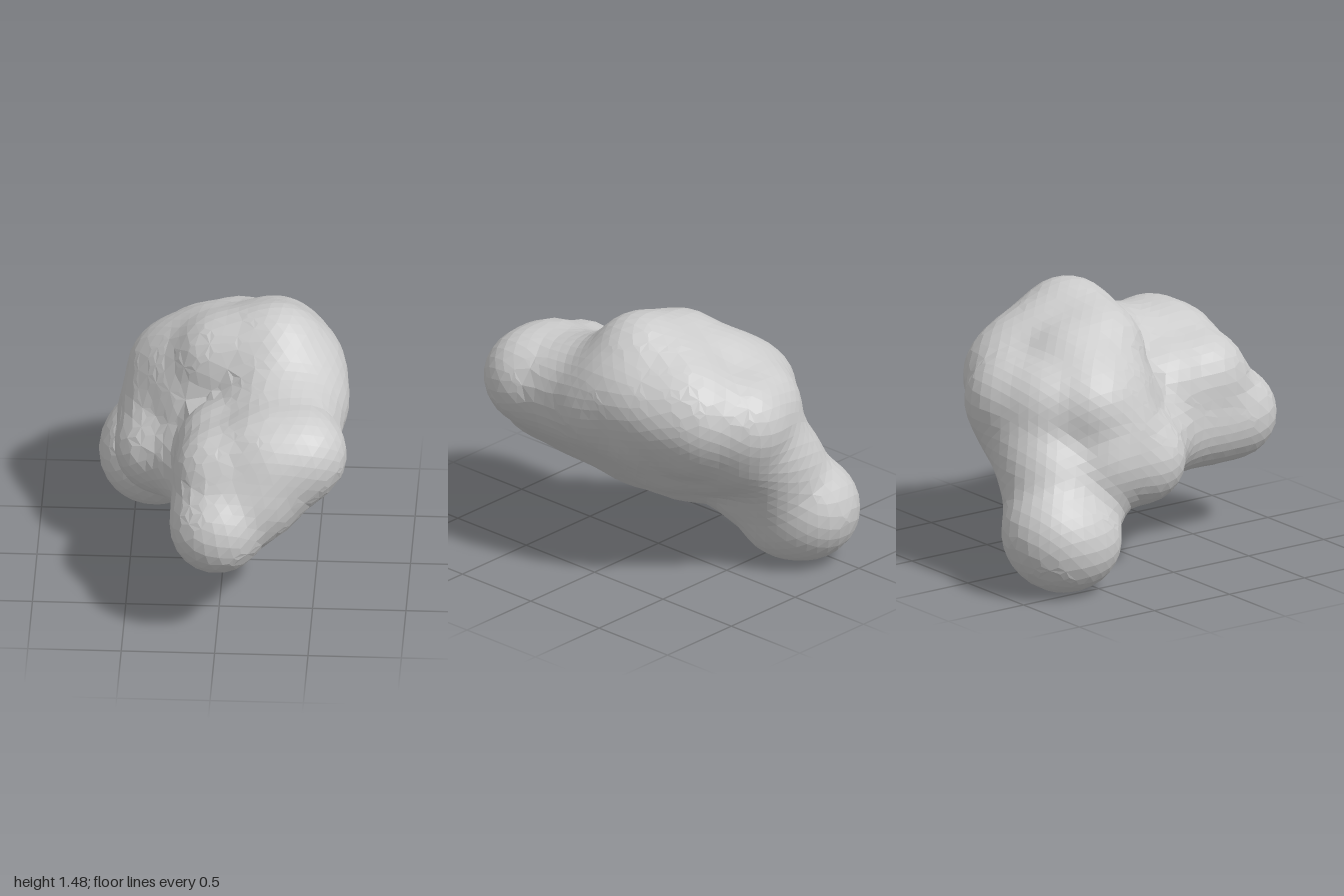
import * as THREE from 'three';

const RADIUS = 0.248, FOOT = 0.235, BLEND = 0.035, CELL = 0.075;

// Centres of the soft balls that make up each region of the blob (optional fourth value: radius)
const REGIONS = {
  frontLobe: [[0, .615, .75], [0, .615, .55], [0, .615, .33], [.01, .85, .56], [.01, .84, .3], [.2, .75, .63],
    [.3, .88, .56], [.25, .94, .54], [.435, .95, .53], [.25, .93, .28], [.385, .95, .27]],
  body: [[-.08, .535, -.08], [-.1, .535, -.2], [.01, .565, .1], [-.13, .62, .07], [-.34, .6, -.11],
    [-.335, .64, -.36], [-.3, .78, -.28], [.1, .7, -.2], [0, .68, -.42], [.02, .78, -.6], [-.1, .85, -.1],
    [.415, .97, .02], [.22, .86, -.45]],
  head: [[.28, 1.21, -.13], [.13, 1.155, -.14], [-.02, 1.13, -.15], [.22, 1.13, -.3], [.25, 1.05, -.44],
    [.28, 1.05, .01], [.3, .98, .13], [.39, 1.07, -.1], [.37, 1.06, -.22], [.34, 1.01, -.36], [.26, .99, -.52],
    [.06, .93, -.665], [-.13, .93, -.58], [-.28, .93, -.4], [-.17, 1, -.36], [-.18, .95, -.24],
    [-.05, 1.07, -.35], [.1, .95, -.3]],
  rearFoot: [[-.445, .25, -.69, FOOT], [-.43, .25, -.6, FOOT], [-.335, .25, -.61, FOOT], [-.4, .27, -.72, FOOT],
    [-.39, .32, -.755, FOOT], [-.26, .42, -.44], [-.28, .45, -.63], [-.24, .58, -.64], [-.14, .7, -.63]],
};
// Slanting underside that joins the front lobe to the back
for (const z of [.42, .22, .02, -.2]) REGIONS.body.push([.11, .68, z], [.21, .78, z], [.32, .88, z]);
const BALLS = Object.values(REGIONS).flat();

// Smooth union of all balls: negative inside, positive outside
function field(x, y, z) {
  let sum = 0;
  for (const [a, b, c, r = RADIUS] of BALLS) sum += Math.exp((r - Math.hypot(x - a, y - b, z - c)) / BLEND);
  return -BLEND * Math.log(sum + 1e-30);
}

// Even out the mesh, pulling each vertex back onto the surface
function relax(positions, index, rounds) {
  const neighbours = positions.map(() => new Set());
  index.forEach((v, i) => {
    const first = i - (i % 3);
    for (let k = 0; k < 3; k++) if (index[first + k] !== v) neighbours[v].add(index[first + k]);
  });
  const e = 0.005;
  for (let r = 0; r < rounds; r++) {
    positions = positions.map((p, v) => {
      const q = new THREE.Vector3();
      for (const n of neighbours[v]) q.add(positions[n]);
      q.divideScalar(neighbours[v].size).lerp(p, 0.4);
      for (let s = 0; s < 2; s++) {
        const { x, y, z } = q;
        const normal = new THREE.Vector3(
          field(x + e, y, z) - field(x - e, y, z),
          field(x, y + e, z) - field(x, y - e, z),
          field(x, y, z + e) - field(x, y, z - e),
        ).normalize();
        q.addScaledVector(normal, -field(x, y, z));
      }
      return q;
    });
  }
  return positions;
}

// Mesh the field: one vertex per crossed cell, one quad per crossed grid edge
function blobGeometry() {
  const min = [-1, -.3, -1.3], n = [27, 27, 35];
  const id = (i, j, k) => (i * n[1] + j) * n[2] + k;
  const step = [n[1] * n[2], n[2], 1];
  const value = new Float32Array(n[0] * n[1] * n[2]);
  const each = (from, fn) => {
    for (let i = from; i < n[0] - 1; i++)
      for (let j = from; j < n[1] - 1; j++)
        for (let k = from; k < n[2] - 1; k++) fn([i, j, k], id(i, j, k));
  };
  for (let i = 0; i < n[0]; i++)
    for (let j = 0; j < n[1]; j++)
      for (let k = 0; k < n[2]; k++)
        value[id(i, j, k)] = field(min[0] + i * CELL, min[1] + j * CELL, min[2] + k * CELL);

  const positions = [], vertexOf = new Map(), index = [];
  each(0, (p, c) => {
    const sum = [0, 0, 0];
    let count = 0;
    for (let a = 0; a < 3; a++) {
      const u = (a + 1) % 3, v = (a + 2) % 3;
      for (let s = 0; s < 4; s++) {
        const du = s & 1, dv = s >> 1;
        const start = c + du * step[u] + dv * step[v];
        const f0 = value[start], f1 = value[start + step[a]];
        if ((f0 < 0) === (f1 < 0)) continue;
        sum[a] += f0 / (f0 - f1);
        sum[u] += du;
        sum[v] += dv;
        count++;
      }
    }
    if (!count) return;
    vertexOf.set(c, positions.length);
    positions.push(new THREE.Vector3(...min.map((m, a) => m + (p[a] + sum[a] / count) * CELL)));
  });
  each(1, (p, c) => {
    for (let a = 0; a < 3; a++) {
      const inside = value[c] < 0;
      if (inside === (value[c + step[a]] < 0)) continue;
      const u = step[(a + 1) % 3], v = step[(a + 2) % 3];
      const q = [c, c - u, c - u - v, c - v].map((cell) => vertexOf.get(cell));
      if (!inside) q.reverse();
      index.push(q[0], q[1], q[2], q[0], q[2], q[3]);
    }
  });

  const geometry = new THREE.BufferGeometry().setFromPoints(relax(positions, index, 4));
  geometry.setIndex(index);
  geometry.computeVertexNormals();
  return geometry;
}

export function createModel() {
  const group = new THREE.Group();
  group.name = 'blob';
  const surface = new THREE.Mesh(
    blobGeometry(),
    new THREE.MeshStandardMaterial({ color: 0xcccccc, flatShading: true }),
  );
  surface.name = 'blobSurface';
  group.add(surface);
  return group;
}
